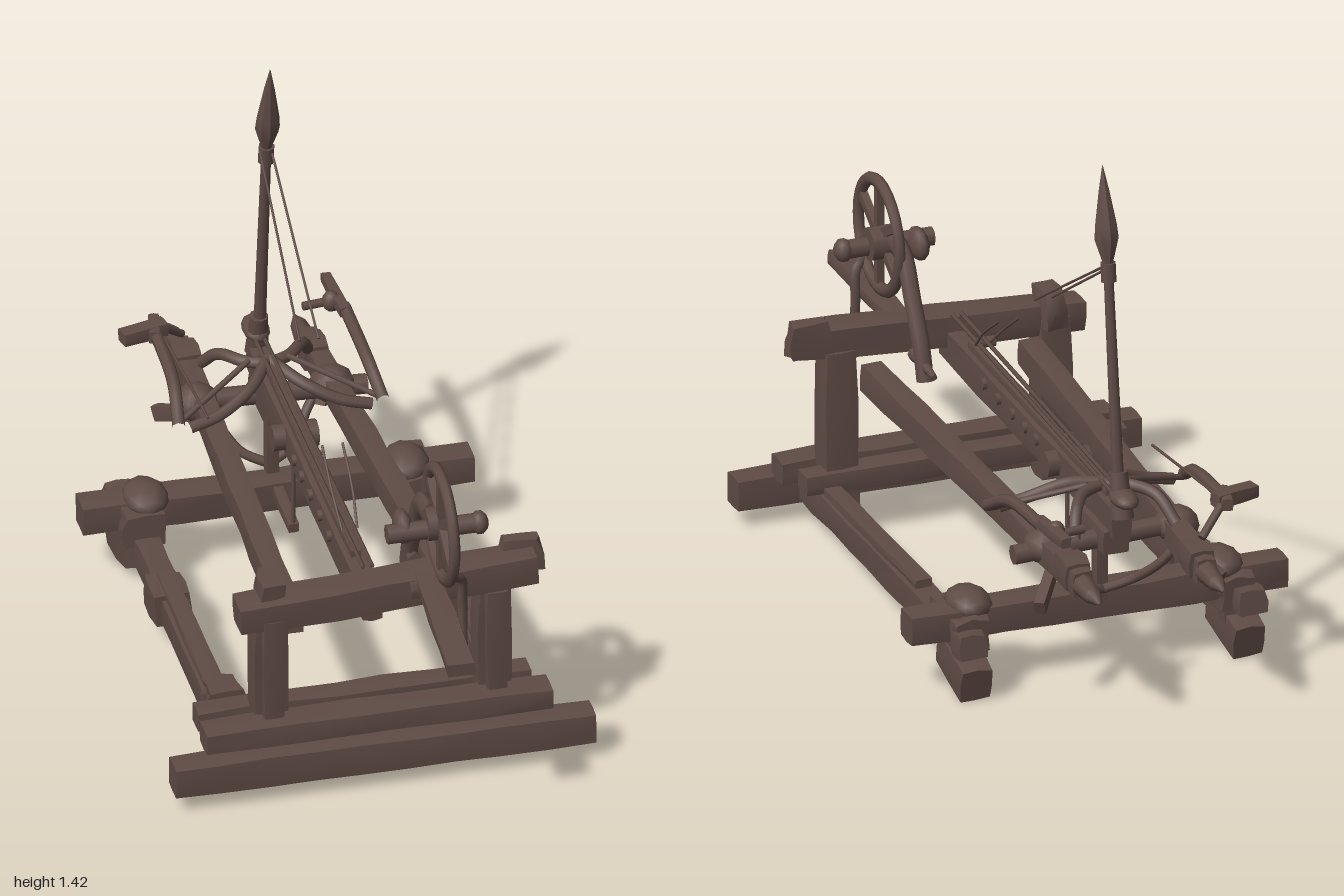
import * as THREE from 'three';
import { toCreasedNormals } from 'three/addons/utils/BufferGeometryUtils.js';

const wood = new THREE.MeshStandardMaterial({ color: 0x5f4b45 });
wood.name = 'dark brown wood';
const V = (p) => new THREE.Vector3(...p);

// Repeatable value in -1..1 for a position, so shared corners move together
const noise = (x, y, z, k) => {
  const s = Math.sin(Math.round(x * 999) * 12.99 + Math.round(y * 999) * 78.23 + Math.round(z * 999) * 37.72 + k * 4.1) * 43758.5;
  return (s - Math.floor(s)) * 2 - 1;
};

export function createModel() {
  const model = new THREE.Group();

  function add(name, geo, pos = [0, 0, 0], parent = model) {
    const m = new THREE.Mesh(geo, wood);
    m.name = name;
    m.position.set(...pos);
    parent.add(m);
    return m;
  }

  // Rough-hewn timber from a to b with worn edges; taper scales the far end
  function timber(name, a, b, w, h, taper = 1, rough = 0.04) {
    const A = V(a), B = V(b), len = A.distanceTo(B);
    const geo = new THREE.BoxGeometry(w, h, len, 2, 2, Math.max(2, Math.round(len / 0.13)));
    const p = geo.attributes.position;
    for (let i = 0; i < p.count; i++) {
      const x = p.getX(i), y = p.getY(i), z = p.getZ(i);
      const corner = Math.abs(x) > w * 0.4 && Math.abs(y) > h * 0.4;
      const end = Math.abs(z) > len * 0.49 ? 0.94 : 1;
      const k = (corner ? 0.93 : 1) * end * (1 + (taper - 1) * (z / len + 0.5));
      p.setXYZ(i, x * k + noise(x, y, z, 1) * w * rough, y * k + noise(x, y, z, 2) * h * rough, z);
    }
    const m = add(name, toCreasedNormals(geo, 0.6), A.clone().add(B).multiplyScalar(0.5).toArray());
    m.lookAt(B);
    return m;
  }

  // Round rod from a to b
  function rod(name, a, b, r0, r1 = r0, sides = 8) {
    const A = V(a), B = V(b);
    const geo = new THREE.CylinderGeometry(r1, r0, A.distanceTo(B), sides);
    const m = add(name, geo, A.clone().add(B).multiplyScalar(0.5).toArray());
    m.quaternion.setFromUnitVectors(new THREE.Vector3(0, 1, 0), B.sub(A).normalize());
    return m;
  }

  // Bent limb through a few points
  const limb = (name, pts, r) =>
    add(name, new THREE.TubeGeometry(new THREE.CatmullRomCurve3(pts.map(V)), 16, r, 7));

  const lump = (name, pos, sx, sy, sz) => {
    const m = add(name, toCreasedNormals(new THREE.IcosahedronGeometry(1, 1), 0.7), pos);
    m.scale.set(sx, sy, sz);
    return m;
  };

  // Base frame
  timber('frontBaseBeam', [-0.55, 0.105, 0.64], [0.56, 0.105, 0.64], 0.085, 0.093, 1, 0.02);
  timber('upperBaseBeam', [-0.455, 0.175, 0.585], [0.46, 0.175, 0.585], 0.09, 0.067, 1, 0.03);
  timber('innerBaseBeam', [-0.45, 0.175, 0.48], [0.43, 0.175, 0.48], 0.07, 0.06);
  timber('backBaseBeam', [-0.515, 0.195, -0.49], [0.52, 0.195, -0.49], 0.09, 0.085);
  for (const s of [-1, 1]) {
    timber('baseRail', [s * 0.362, 0.11, 0.64], [s * 0.36, 0.125, -0.56], 0.07, 0.078);
    timber('railCap', [s * 0.362, 0.155, 0.45], [s * 0.36, 0.17, -0.2], 0.05, 0.025);
    timber('backFoot', [s * 0.37, 0.1, -0.43], [s * 0.375, 0.06, -0.615], 0.09, 0.1);
    timber('backCornerBlock', [s * 0.365, 0.185, -0.39], [s * 0.365, 0.18, -0.57], 0.115, 0.1, 0.9, 0.08);
    lump('cornerLashing', [s * 0.345, 0.235, -0.475], 0.06, 0.04, 0.08);
    timber('cornerPeg', [s * 0.385, 0.16, -0.55], [s * 0.385, 0.17, -0.62], 0.08, 0.07);
  }
  timber('frontCornerLashing', [-0.36, 0.19, 0.45], [-0.36, 0.19, 0.36], 0.1, 0.055, 0.9, 0.1);
  timber('railSplice', [-0.365, 0.125, -0.1], [-0.365, 0.125, -0.21], 0.105, 0.1);

  // Front uprights and head beam
  for (const x of [-0.268, 0.322]) {
    timber('frontPost', [x, 0.08, 0.51], [x, 0.52, 0.525], 0.1, 0.1, 0.92);
    timber('backingPost', [x, 0.2, 0.57], [x, 0.5, 0.57], 0.06, 0.04);
  }
  timber('headBeam', [-0.355, 0.508, 0.54], [0.43, 0.548, 0.54], 0.1, 0.087, 1, 0.03);
  timber('postKnob', [-0.262, 0.5, 0.515], [-0.262, 0.595, 0.515], 0.07, 0.12, 0.85, 0.08);
  timber('postKnob', [0.4, 0.52, 0.51], [0.405, 0.61, 0.51], 0.05, 0.12, 0.85, 0.08);
  timber('beamStop', [0.09, 0.545, 0.55], [0.17, 0.55, 0.55], 0.11, 0.05);

  // Long sloping rails with sharpened ends
  for (const [x0, x1, end] of [[-0.2, -0.155, -0.9], [0.235, 0.17, -0.86]]) {
    timber('longRail', [x0, 0.438, 0.5], [x1, 0.408, end + 0.02], 0.064, 0.078, 0.9);
    rod('railShoulder', [x1, 0.407, end + 0.03], [x1, 0.404, end - 0.05], 0.031, 0.023);
    rod('railPoint', [x1, 0.404, end - 0.05], [x1, 0.402, end - 0.1], 0.023, 0.004);
    timber('railWrap', [x1, 0.42, end + 0.14], [x1, 0.417, end + 0.05], 0.075, 0.075);
  }

  // Central slider, trough and side pegs
  timber('slider', [0, 0.485, 0.55], [0, 0.485, -0.68], 0.06, 0.09, 1, 0.03);
  timber('sliderRidge', [0, 0.535, 0.38], [0, 0.53, -0.6], 0.03, 0.03);
  for (const z of [0.22, 0.12, 0.02, -0.07, -0.15]) rod('sliderPeg', [-0.04, 0.5, z], [0.04, 0.5, z], 0.016);
  rod('sliderBoss', [-0.06, 0.49, -0.28], [0.06, 0.49, -0.28], 0.036);
  rod('sliderCrossPin', [-0.09, 0.5, 0.46], [0.02, 0.5, 0.46], 0.015);
  timber('sliderKeel', [0.01, 0.425, -0.45], [0.01, 0.425, -0.66], 0.08, 0.07);

  // Rear support with curved braces
  timber('rearPost', [0, 0.19, -0.52], [0, 0.45, -0.52], 0.035, 0.04);
  rod('rearCrossbar', [-0.21, 0.425, -0.6], [0.27, 0.405, -0.6], 0.027);
  for (const s of [-1, 1]) {
    lump('crossbarLashing', [s * 0.18, 0.42, -0.6], 0.06, 0.05, 0.06);
    limb('curvedBrace', [[0, 0.24, -0.54], [s * 0.07, 0.27, -0.57], [s * 0.12, 0.33, -0.63], [s * 0.17, 0.4, -0.66]], 0.013);
    timber('braceStub', [s * 0.15, 0.38, -0.6], [s * 0.25, 0.31, -0.74], 0.03, 0.045);
  }

  // Trigger hanging under the slider
  rod('hangingRod', [0, 0.45, -0.29], [0, 0.2, -0.29], 0.006);
  timber('hangingFoot', [0, 0.205, -0.28], [0, 0.215, -0.48], 0.03, 0.03);

  // Bow limbs at the rear
  for (const s of [-1, 1]) {
    limb('innerBowLimb', [[0, 0.54, -0.55], [s * 0.06, 0.54, -0.575], [s * 0.11, 0.53, -0.64], [s * 0.14, 0.47, -0.7]], 0.016);
    limb('outerBowLimb', [[0, 0.55, -0.56], [s * 0.07, 0.52, -0.47], [s * 0.16, 0.48, -0.43], [s * 0.24, 0.46, -0.42]], 0.016);
    limb('bowArm', [[s * 0.27, 0.47, -0.42], [s * 0.255, 0.53, -0.54], [s * 0.25, 0.55, -0.75]], 0.017);
    rod('bowStay', [s * 0.05, 0.55, -0.56], [s * 0.26, 0.47, -0.44], 0.008);
  }
  timber('leftBowTip', [0.245, 0.55, -0.72], [0.235, 0.555, -0.89], 0.03, 0.03);
  rod('leftBowPin', [0.15, 0.54, -0.79], [0.24, 0.54, -0.8], 0.012);
  lump('leftBowKnot', [0.225, 0.545, -0.79], 0.025, 0.03, 0.025);
  timber('rightBowTip', [-0.34, 0.55, -0.74], [-0.22, 0.55, -0.77], 0.045, 0.04);
  timber('rightBowFork', [-0.26, 0.55, -0.72], [-0.24, 0.55, -0.81], 0.03, 0.035);
  rod('rightBowLink', [-0.24, 0.55, -0.78], [-0.16, 0.48, -0.83], 0.011);
  rod('rightBowString', [-0.235, 0.55, -0.72], [-0.21, 0.53, -0.35], 0.004, 0.004, 5);

  // Upright spear
  rod('spearSocket', [0, 0.5, -0.68], [0, 0.62, -0.655], 0.032, 0.024);
  lump('spearSocketRing', [0, 0.56, -0.69], 0.036, 0.024, 0.06);
  rod('spearShaft', [0.003, 0.55, -0.663], [0.003, 1.2, -0.583], 0.017, 0.013);
  rod('spearCollar', [0.003, 1.13, -0.592], [0.003, 1.18, -0.586], 0.021);
  const profile = [[0.013, 0], [0.017, 0.02], [0.033, 0.075], [0.03, 0.11], [0.015, 0.2], [0.001, 0.27]];
  const head = add('spearHead', new THREE.LatheGeometry(profile.map((p) => new THREE.Vector2(...p)), 8), [0.003, 1.17, -0.587]);
  head.geometry = toCreasedNormals(head.geometry, 0.4);
  head.rotation.x = 0.15;

  // Ropes
  for (const s of [-1, 1]) {
    rod('spearRope', [s * 0.015, 1.17, -0.585], [s * 0.025, 0.88, -0.12], 0.0035, 0.0035, 5);
    limb('looseRope', [[s * 0.02, 0.57, 0.31], [s * 0.027, 0.64, 0.23], [s * 0.027, 0.715, 0.125]], 0.0035);
    rod('sliderRope', [s * 0.012, 0.575, 0.5], [s * 0.012, 0.555, -0.66], 0.006, 0.006, 5);
  }

  // Handle plank
  timber('handlePlank', [0.125, 0.55, 0.995], [0.145, 0.56, 0.5], 0.08, 0.04, 0.75);

  // Spoked wheel, axle and bracket
  const wheel = new THREE.Group();
  wheel.name = 'wheel';
  wheel.position.set(0.16, 0.765, 0.635);
  wheel.rotation.y = Math.PI / 2;
  model.add(wheel);
  const rim = add('wheelRim', new THREE.TorusGeometry(0.147, 0.018, 8, 28), [0, 0, 0], wheel);
  rim.scale.z = 0.85;
  for (let i = 0; i < 3; i++) {
    const spoke = add('spokePair', new THREE.BoxGeometry(0.024, 0.29, 0.02), [0, 0, 0], wheel);
    spoke.rotation.z = (i * Math.PI) / 3;
  }
  rod('axle', [0.02, 0.745, 0.62], [0.27, 0.745, 0.62], 0.026);
  rod('hub', [0.125, 0.755, 0.61], [0.2, 0.755, 0.61], 0.046);
  lump('axleEnd', [0.265, 0.745, 0.62], 0.025, 0.032, 0.032);
  lump('axleCollar', [0.07, 0.745, 0.59], 0.025, 0.045, 0.055);
  const arm = limb('wheelBracket', [[0.14, 0.775, 0.6], [0.14, 0.755, 0.51], [0.145, 0.66, 0.44], [0.145, 0.56, 0.38], [0.145, 0.47, 0.35]], 0.032);
  arm.scale.x = 0.7;
  arm.position.x = 0.043;
  rod('bracketPin', [0.145, 0.52, 0.42], [0.145, 0.51, 0.28], 0.02, 0.008);

  // Crank handle
  limb('crank', [[0.17, 0.66, 0.73], [0.195, 0.64, 0.71], [0.2, 0.56, 0.7], [0.198, 0.43, 0.715]], 0.013);
  lump('crankKnob', [0.197, 0.415, 0.715], 0.022, 0.024, 0.022);
  return model;
}
